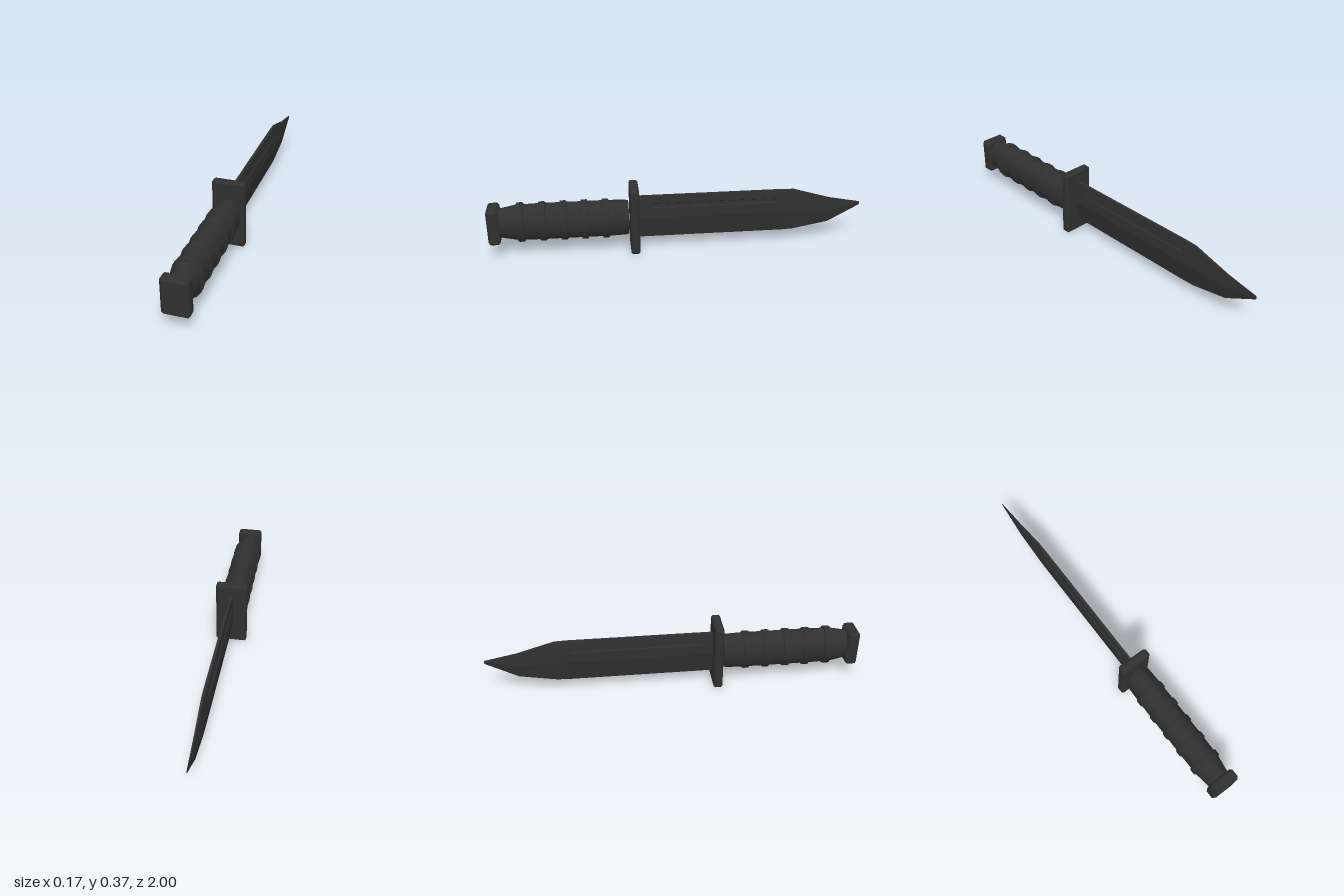
import * as THREE from 'three';
import { toCreasedNormals } from 'three/addons/utils/BufferGeometryUtils.js';

const darkSteel = new THREE.MeshStandardMaterial({ color: 0x303030 });
darkSteel.name = 'dark steel';

const CENTER_Y = 0.185;

function part(name, geometry) {
  const mesh = new THREE.Mesh(geometry, darkSteel);
  mesh.name = name;
  return mesh;
}

// Box between z0 and z1 with all its edges chamfered by c
function chamferedBox(w, h, z0, z1, c) {
  const x = w / 2, y = h / 2;
  const shape = new THREE.Shape([
    [x - c, -y], [x, -y + c], [x, y - c], [x - c, y],
    [-x + c, y], [-x, y - c], [-x, -y + c], [-x + c, -y],
  ].map(([px, py]) => new THREE.Vector2(px, py)));
  const g = new THREE.ExtrudeGeometry(shape, {
    depth: z1 - z0 - 2 * c, bevelEnabled: true, bevelThickness: c,
    bevelSize: c, bevelOffset: -c, bevelSegments: 1,
  });
  return g.translate(0, 0, z0 + c);
}

// Oval grip with five raised rings, turned around z
function gripGeometry() {
  const profile = [[0, 0.263], [0.094, 0.263], [0.098, 0.28]];
  for (const z of [0.385, 0.495, 0.605, 0.715, 0.83]) {
    const r = z > 0.8 ? 0.099 : 0.101;
    profile.push([r, z - 0.018], [0.108, z - 0.017], [0.11, z - 0.012],
      [0.11, z + 0.012], [0.108, z + 0.017], [r, z + 0.018]);
  }
  profile.push([0.082, 0.93], [0.082, 0.95], [0, 0.95]);
  const g = new THREE.LatheGeometry(
    profile.map(([r, z]) => new THREE.Vector2(r, z)), 16, Math.PI / 16);
  g.rotateX(Math.PI / 2).scale(0.73, 1, 1).translate(0, CENTER_Y, 0);
  return toCreasedNormals(g, 0.6);
}

// Blade lofted from spine to edge sections, with a fuller sunk into each side
function bladeGeometry() {
  // z, edge y, spine y, half thickness, fuller depth
  const stations = [
    [0.22, 0.065, 0.305, 0.018, 0],
    [0.152, 0.065, 0.305, 0.018, 0],
    [0.142, 0.065, 0.305, 0.018, 0.005],
    [-0.552, 0.065, 0.305, 0.018, 0.005],
    [-0.562, 0.065, 0.305, 0.018, 0],
    [-0.63, 0.067, 0.303, 0.016, 0],
    [-0.83, 0.103, 0.245, 0.01, 0],
    [-1, 0.195, 0.213, 0.002, 0],
  ];
  // height fraction, thickness fraction, part of the fuller depth
  const side = [
    [1, 0.4, 0], [0.815, 0.63, 0], [0.8, 0.65, 1],
    [0.725, 0.74, 1], [0.71, 0.75, 0], [0.48, 1, 0], [0, 0.06, 0],
  ];
  const outline = [
    ...side.map((p) => [...p, 1]),
    ...side.slice().reverse().map((p) => [...p, -1]),
  ];
  const n = outline.length;
  const positions = [];
  const index = [];
  for (const [z, low, high, half, depth] of stations) {
    for (const [h, t, d, sign] of outline) {
      positions.push(sign * (half * t - depth * d), low + (high - low) * h, z);
    }
  }
  for (let s = 0; s < stations.length - 1; s++) {
    for (let i = 0; i < n; i++) {
      const j = (i + 1) % n;
      const a = s * n + i, b = s * n + j, c = a + n, d = b + n;
      index.push(a, b, c, b, d, c);
    }
  }
  // End caps, bridged between the two sides
  const last = (stations.length - 1) * n;
  for (let i = 0; i < side.length - 1; i++) {
    const a = i, b = i + 1, c = n - 2 - i, d = n - 1 - i;
    index.push(a, c, b, a, d, c);
    index.push(last + a, last + b, last + c, last + a, last + c, last + d);
  }
  const g = new THREE.BufferGeometry();
  g.setAttribute('position', new THREE.Float32BufferAttribute(positions, 3));
  g.setIndex(index);
  return toCreasedNormals(g, 0.12);
}

export function createModel() {
  const model = new THREE.Group();
  model.name = 'knife';

  model.add(part('blade', bladeGeometry()));

  const guard = part('guard', chamferedBox(0.17, 0.365, 0.208, 0.256, 0.008));
  guard.position.y = 0.1825;
  model.add(guard);

  model.add(part('grip', gripGeometry()));

  // Pommel, its outer face narrowing slightly toward the bottom
  const pommelGeometry = chamferedBox(0.136, 0.192, 0.938, 1, 0.01);
  const p = pommelGeometry.attributes.position;
  for (let i = 0; i < p.count; i++) {
    if (p.getZ(i) > 0.995) p.setX(i, p.getX(i) * (p.getY(i) < 0 ? 0.88 : 1));
  }
  pommelGeometry.computeVertexNormals();
  const pommel = part('pommel', pommelGeometry);
  pommel.position.y = 0.182;
  model.add(pommel);

  return model;
}
